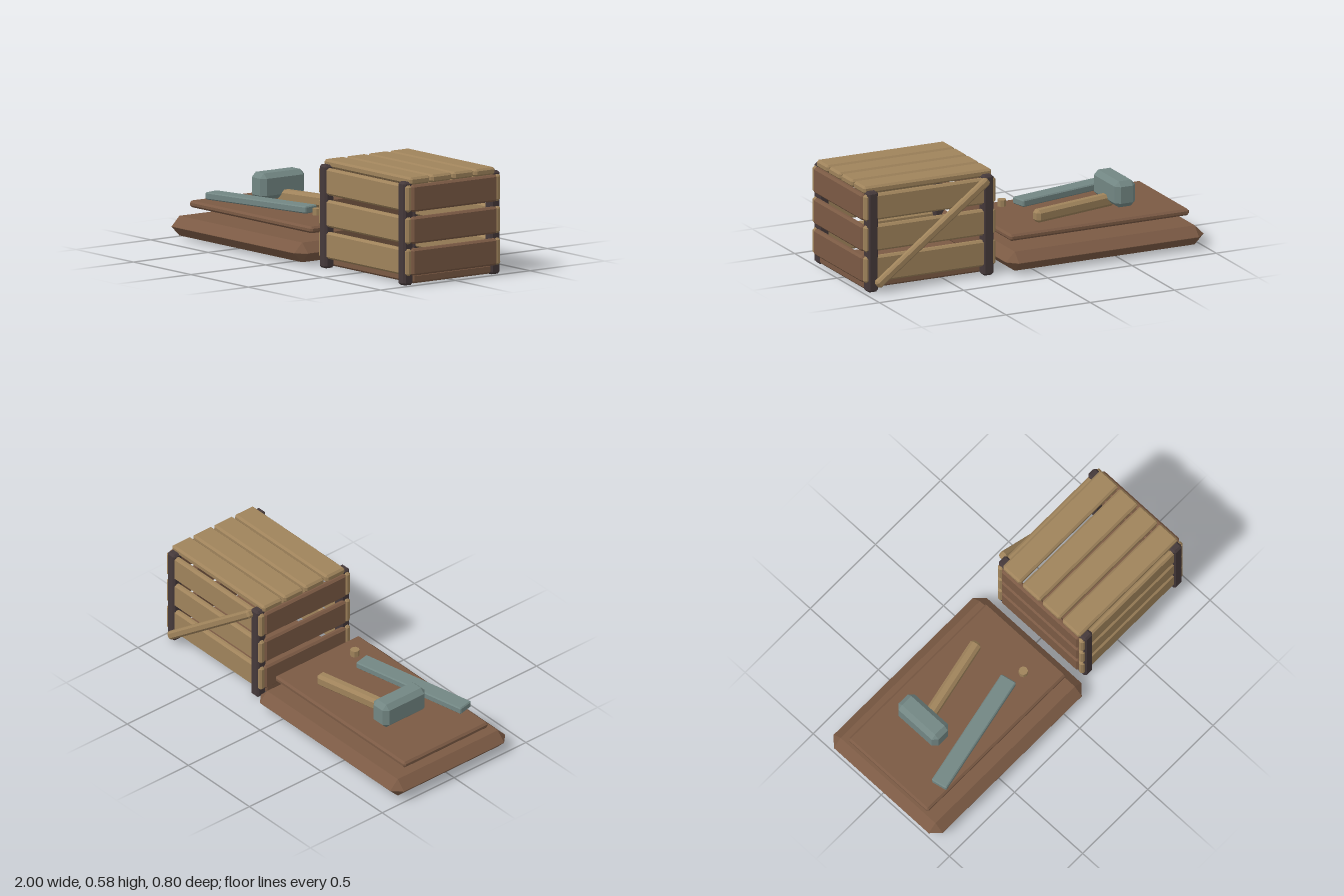
import * as THREE from 'three';
import { ConvexGeometry } from 'three/addons/geometries/ConvexGeometry.js';

const material = (name, color) => {
  const m = new THREE.MeshStandardMaterial({ color });
  m.name = name;
  return m;
};

// Box with every edge cut by a flat chamfer of size b
function chamferBox(w, h, d, b) {
  const half = [w / 2, h / 2, d / 2];
  const c = Math.min(b, Math.min(...half) * 0.98);
  const points = [];
  for (const sx of [-1, 1]) for (const sy of [-1, 1]) for (const sz of [-1, 1]) {
    for (let full = 0; full < 3; full++) {
      const p = half.map((v, i) => (i === full ? v : v - c));
      points.push(new THREE.Vector3(sx * p[0], sy * p[1], sz * p[2]));
    }
  }
  return new ConvexGeometry(points);
}

export function createModel() {
  const model = new THREE.Group();
  model.name = 'crateAndTools';
  const tan = material('lightWood', 0x9f835b);
  const brown = material('brownWood', 0x7b5a44);
  const dark = material('darkWood', 0x45393a);
  const steel = material('steel', 0x728683);

  // Chamfered block given by its extents on each axis
  function block(parent, name, mat, [x0, x1], [y0, y1], [z0, z1], bevel) {
    const mesh = new THREE.Mesh(chamferBox(x1 - x0, y1 - y0, z1 - z0, bevel), mat);
    mesh.position.set((x0 + x1) / 2, (y0 + y1) / 2, (z0 + z1) / 2);
    mesh.name = name;
    parent.add(mesh);
    return mesh;
  }

  // Crate
  const crate = new THREE.Group();
  crate.name = 'crate';
  model.add(crate);
  block(crate, 'crateFloor', brown, [0.23, 0.975], [0.008, 0.058], [-0.262, 0.262], 0.01);

  for (const x of [0.26, 0.945]) for (const z of [-0.291, 0.291]) {
    block(crate, 'cornerPost', dark, [x - 0.031, x + 0.031], [0.002, 0.557], [z - 0.031, z + 0.031], 0.011);
  }

  for (const y of [0.126, 0.297, 0.469]) {
    const ys = [y - 0.072, y + 0.072];
    for (const z of [-0.297, 0.297]) {
      block(crate, z > 0 ? 'frontPlank' : 'backPlank', tan, [0.213, 0.992], ys, [z - 0.018, z + 0.018], 0.011);
    }
    for (const x of [0.228, 0.982]) {
      block(crate, x > 0.6 ? 'leftPlank' : 'rightPlank', brown, [x - 0.018, x + 0.018], ys, [-0.284, 0.284], 0.011);
    }
  }

  for (let i = 0; i < 4; i++) {
    const z = -0.218 + i * 0.1455;
    block(crate, 'lidPlank', tan, [0.222, 0.982], [0.538, 0.58], [z - 0.066, z + 0.066], 0.011);
  }

  // Diagonal brace across the back
  const brace = block(crate, 'backBrace', tan, [0.19, 1.015], [0.267, 0.313], [-0.355, -0.313], 0.011);
  brace.rotation.z = -0.645;

  // Work surface: thick bevelled slab with a thin board above it
  const bench = new THREE.Group();
  bench.name = 'workSurface';
  model.add(bench);
  block(bench, 'slab', brown, [-1, 0.172], [0.017, 0.123], [-0.4, 0.4], 0.052);
  block(bench, 'board', brown, [-0.945, 0.12], [0.164, 0.2], [-0.298, 0.288], 0.011);

  // Hammer
  const hammer = new THREE.Group();
  hammer.name = 'hammer';
  model.add(hammer);
  block(hammer, 'hammerHead', steel, [-0.68, -0.557], [0.226, 0.37], [-0.205, 0.09], 0.026);
  const handle = block(hammer, 'hammerHandle', tan, [-0.61, -0.085], [0.206, 0.275], [-0.143, -0.081], 0.016);
  handle.rotation.y = 0.21;

  // Flat metal bar
  const bar = block(model, 'metalBar', steel, [-0.82, -0.116], [0.224, 0.263], [0.124, 0.217], 0.006);
  bar.rotation.y = 0.208;

  // Small peg
  const pegMesh = new THREE.Mesh(new THREE.CylinderGeometry(0.025, 0.025, 0.036, 8).toNonIndexed(), tan);
  pegMesh.geometry.computeVertexNormals();
  pegMesh.position.set(-0.041, 0.245, 0.125);
  pegMesh.name = 'peg';
  model.add(pegMesh);

  return model;
}
